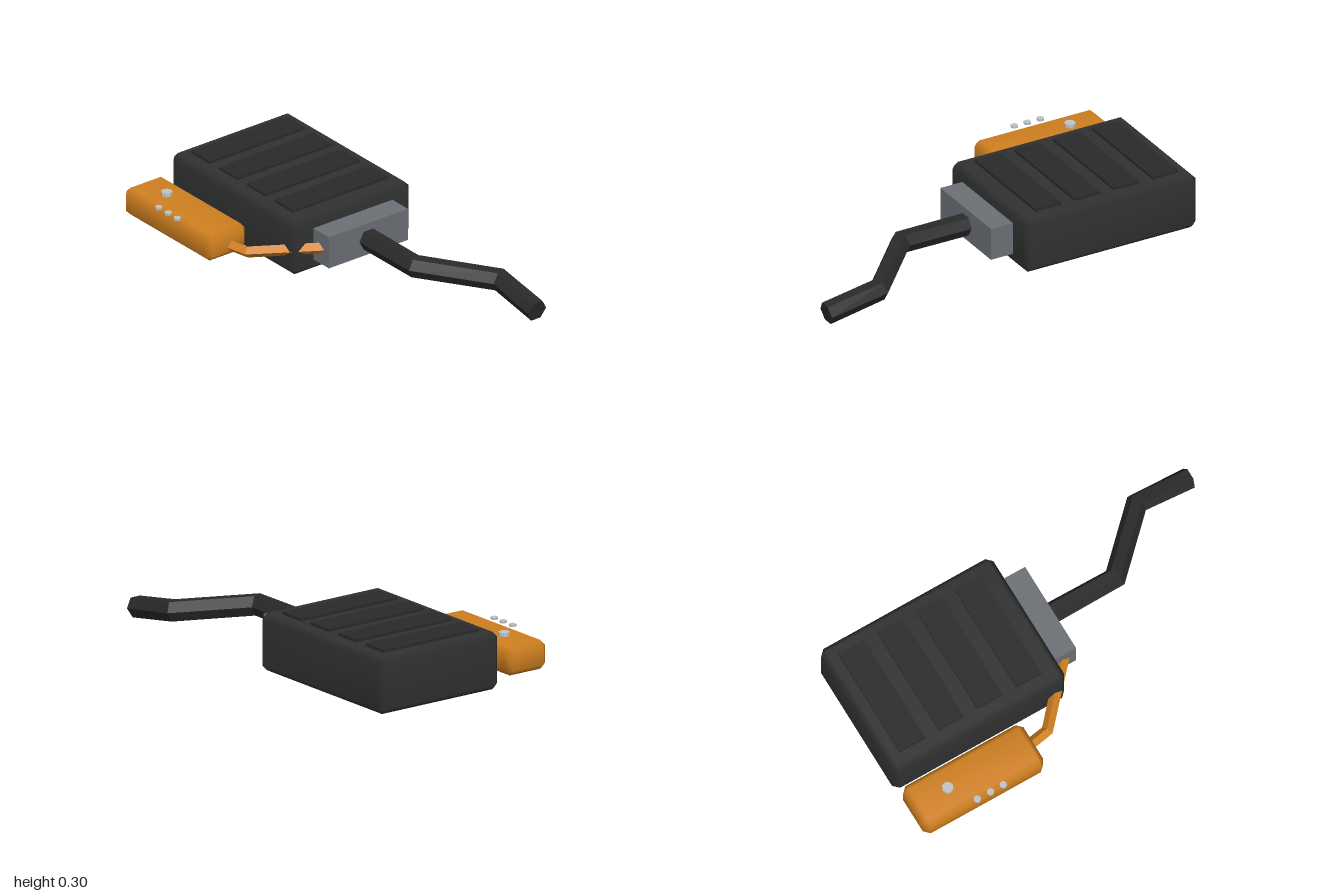
import * as THREE from 'three';
import { mergeVertices } from 'three/addons/utils/BufferGeometryUtils.js';
import { ConvexGeometry } from 'three/addons/geometries/ConvexGeometry.js';

const mat = (name, color) => {
  const m = new THREE.MeshStandardMaterial({ color });
  m.name = name;
  return m;
};

// Box with one flat chamfer on every edge, shaded smoothly
function chamferBox(w, h, d, c) {
  const pts = [];
  const half = [w / 2, h / 2, d / 2];
  for (const sx of [-1, 1]) for (const sy of [-1, 1]) for (const sz of [-1, 1])
    for (let k = 0; k < 3; k++) {
      const v = half.map((s, i) => (i === k ? s : s - c));
      pts.push(new THREE.Vector3(sx * v[0], sy * v[1], sz * v[2]));
    }
  let g = new ConvexGeometry(pts);
  g.deleteAttribute('normal');
  g = mergeVertices(g, 1e-5);
  g.computeVertexNormals();
  return g;
}

// Faceted, capped tube along straight segments
function bentTube(points, radius, sides) {
  const p = points.map((a) => new THREE.Vector3(...a));
  const up = new THREE.Vector3(0, 1, 0);
  const dir = (i) => p[i + 1].clone().sub(p[i]).normalize();
  const pos = [], index = [];
  p.forEach((c, i) => {
    const t = dir(Math.max(i - 1, 0)).add(dir(Math.min(i, p.length - 2))).normalize();
    const side = t.clone().cross(up).normalize();
    const top = side.clone().cross(t);
    for (let j = 0; j < sides; j++) {
      const a = (j / sides) * Math.PI * 2;
      const v = c.clone().addScaledVector(side, radius * Math.cos(a)).addScaledVector(top, radius * Math.sin(a));
      pos.push(v.x, v.y, v.z);
    }
  });
  for (let i = 0; i < p.length - 1; i++)
    for (let j = 0; j < sides; j++) {
      const k = (j + 1) % sides;
      const a = i * sides + j, d = i * sides + k;
      index.push(a, a + sides, d + sides, a, d + sides, d);
    }
  const last = (p.length - 1) * sides;
  for (let j = 1; j < sides - 1; j++) index.push(0, j, j + 1, last, last + j + 1, last + j);
  let g = new THREE.BufferGeometry();
  g.setAttribute('position', new THREE.Float32BufferAttribute(pos, 3));
  g.setIndex(index);
  g = g.toNonIndexed();
  g.computeVertexNormals();
  return g;
}

export function createModel() {
  const group = new THREE.Group();
  const black = mat('charcoal plastic', 0x303131);
  const rubber = mat('dark rubber', 0x2a2a2a);
  const orange = mat('orange plastic', 0xd08020);
  const steel = mat('grey metal', 0x6c7075);
  const silver = mat('light silver', 0xc0c3c6);

  const add = (name, geo, material, x = 0, y = 0, z = 0) => {
    const m = new THREE.Mesh(geo, material);
    m.name = name;
    m.position.set(x, y, z);
    group.add(m);
    return m;
  };

  // Main case with raised ribs on its lid
  add('mainCase', chamferBox(0.945, 0.284, 0.714, 0.028), black, -0.5275, 0.147, -0.153);
  for (let i = 0; i < 4; i++)
    add('lidRib' + (i + 1), new THREE.BoxGeometry(0.14, 0.03, 0.57), rubber, -0.86 + i * 0.213, 0.288, -0.155);

  // Coupling block on the end of the case
  add('couplingBlock', new THREE.BoxGeometry(0.14, 0.165, 0.475), steel, -0.005, 0.149, -0.153);

  // Bent outlet hose
  add('outletHose', bentTube(
    [[0.03, 0.147, -0.153], [0.42, 0.147, -0.153], [0.705, 0.101, -0.437], [0.992, 0.051, -0.437]],
    0.055, 6), rubber);

  // Side control unit
  add('controlUnit', chamferBox(0.66, 0.142, 0.238, 0.028), orange, -0.67, 0.124, 0.371);

  // Cable from the control unit to the coupling
  add('controlCable', bentTube(
    [[-0.37, 0.105, 0.354], [-0.24, 0.109, 0.333], [0.01, 0.147, 0.062]],
    0.029, 4), orange);

  // Large knob and three small buttons
  const knob = (name, r, h, x, y, z) => {
    const g = new THREE.CylinderGeometry(r, r, h, 8).toNonIndexed();
    g.computeVertexNormals();
    add(name, g, silver, x, y, z);
  };
  knob('knob', 0.028, 0.024, -0.81, 0.201, 0.372);
  [-0.718, -0.646, -0.576].forEach((x, i) => knob('button' + (i + 1), 0.018, 0.011, x, 0.202, 0.492));

  return group;
}
